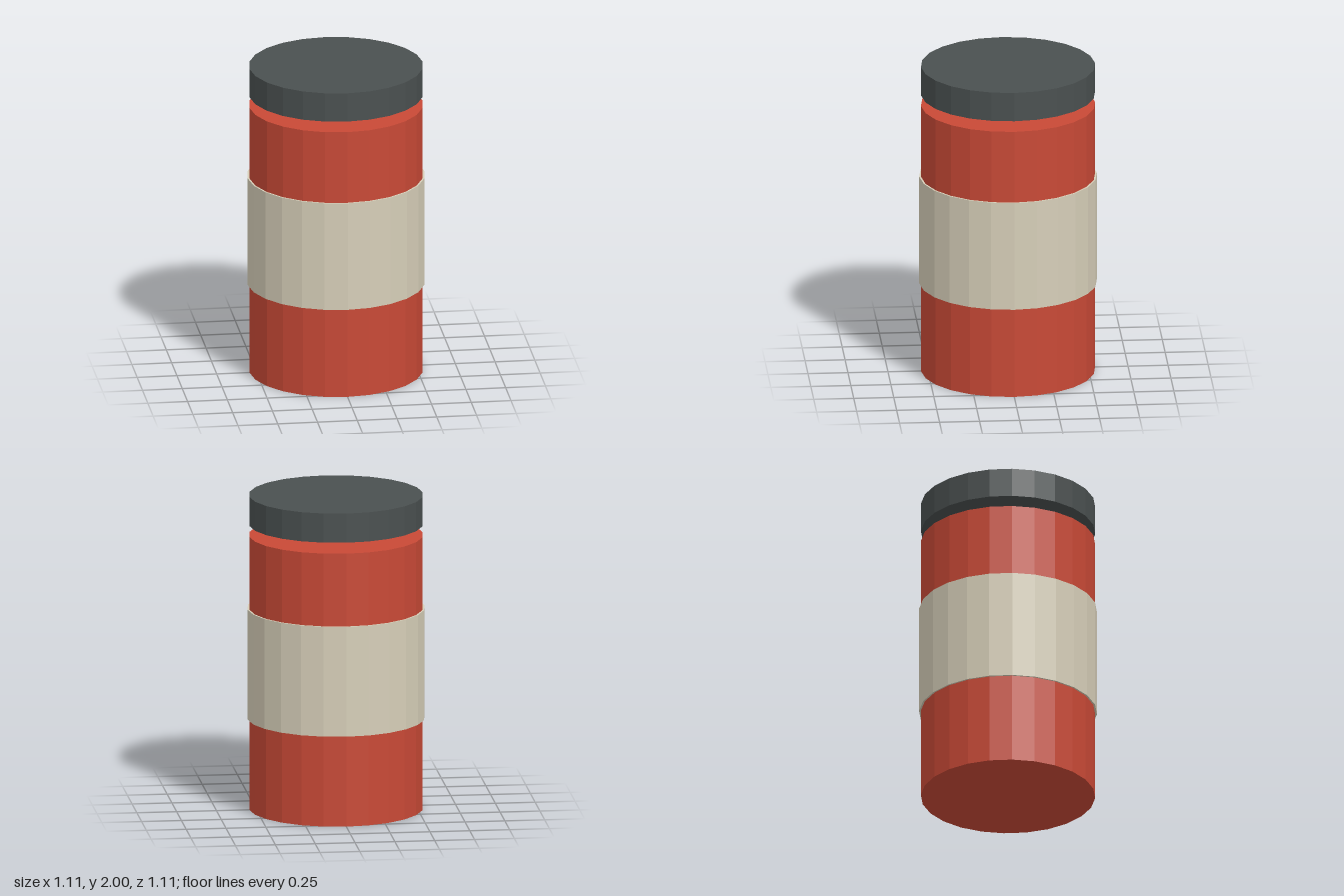
import * as THREE from 'three';

const SIDES = 24;

export function createModel() {
  const model = new THREE.Group();
  model.name = 'canister';

  const material = (name, color) => {
    const m = new THREE.MeshStandardMaterial({ color, flatShading: true });
    m.name = name;
    return m;
  };

  // A faceted drum spanning bottom to top
  const drum = (name, radius, bottom, top, mat) => {
    const mesh = new THREE.Mesh(new THREE.CylinderGeometry(radius, radius, top - bottom, SIDES), mat);
    mesh.name = name;
    mesh.position.y = (bottom + top) / 2;
    model.add(mesh);
  };

  drum('body', 0.544, 0, 1.744, material('red', 0xc84936));
  drum('labelBand', 0.555, 0.577, 1.279, material('cream', 0xd6ceb8));
  // The lid floats just above the body
  drum('lid', 0.544, 1.814, 2, material('charcoal', 0x4a5050));

  return model;
}
